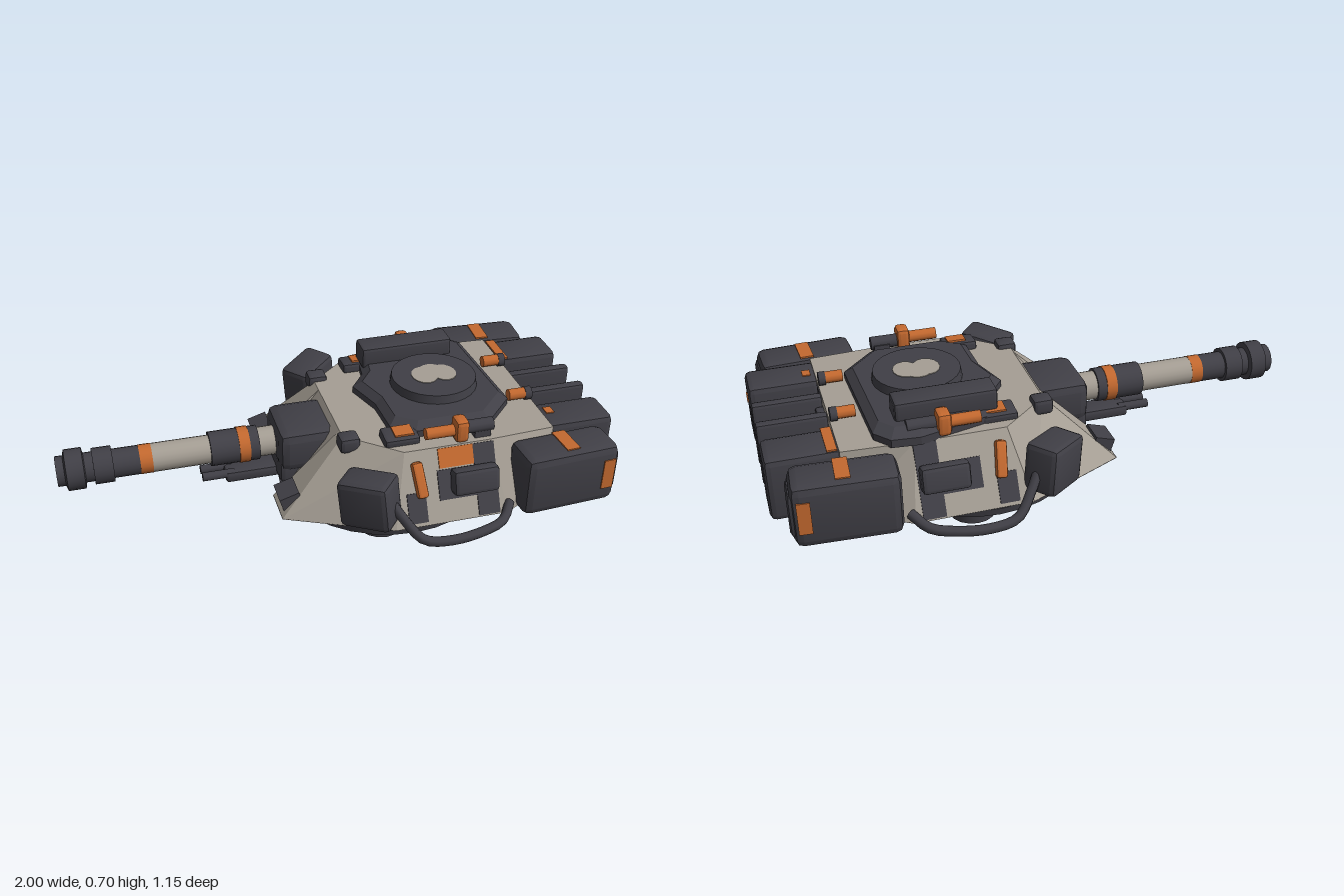
import * as THREE from 'three';
import { toCreasedNormals } from 'three/addons/utils/BufferGeometryUtils.js';
import { RoundedBoxGeometry } from 'three/addons/geometries/RoundedBoxGeometry.js';

const material = (name, color) => {
  const m = new THREE.MeshStandardMaterial({ color });
  m.name = name;
  return m;
};

// Faceted solid through closed rings of [x, y, z], counter-clockwise from above
function loft(rings) {
  const pos = [];
  const n = rings[0].length;
  const centre = (r) => [0.3, r[0][1], 0];
  for (let k = 0; k < rings.length - 1; k++) {
    for (let i = 0; i < n; i++) {
      const j = (i + 1) % n;
      const [a, b, c, d] = [rings[k][i], rings[k][j], rings[k + 1][j], rings[k + 1][i]];
      pos.push(...a, ...b, ...c, ...a, ...c, ...d);
    }
  }
  const low = rings[0], high = rings[rings.length - 1];
  for (let i = 0; i < n; i++) {
    const j = (i + 1) % n;
    pos.push(...centre(high), ...high[i], ...high[j], ...centre(low), ...low[j], ...low[i]);
  }
  const g = new THREE.BufferGeometry();
  g.setAttribute('position', new THREE.Float32BufferAttribute(pos, 3));
  g.computeVertexNormals();
  return g;
}

// Full ring at height y from a half outline of [x, z]
const ring = (half, y) => [
  ...half.map(([x, z]) => [x, y, z]),
  ...half.slice().reverse().map(([x, z]) => [x, y, -z]),
];

const box = (w, h, d) => new THREE.BoxGeometry(w, h, d);
const chamfered = (w, h, d, r) => toCreasedNormals(new RoundedBoxGeometry(w, h, d, 1, r), 0.4);
const rod = (length, r, sides = 16) =>
  new THREE.CylinderGeometry(r, r, length, sides).rotateZ(Math.PI / 2);

export function createModel() {
  const model = new THREE.Group();
  model.name = 'turret';
  const dark = material('charcoal', 0x403f46);
  const grey = material('warm grey', 0xa59e94);
  const orange = material('rust orange', 0xc4692f);

  const add = (name, geo, mat, p = [0, 0, 0], r = [0, 0, 0]) => {
    const mesh = new THREE.Mesh(geo, mat);
    mesh.name = name;
    mesh.position.set(...p);
    mesh.rotation.set(...r);
    model.add(mesh);
    return mesh;
  };
  // The same part on both flanks
  const pair = (name, geo, mat, [x, y, z], [rx, ry, rz] = [0, 0, 0]) => {
    add(name + 'Left', geo, mat, [x, y, z], [rx, ry, rz]);
    add(name + 'Right', geo, mat, [x, y, -z], [-rx, -ry, rz]);
  };

  // Pivot shaft and turning ring
  add('shaft', new THREE.CylinderGeometry(0.092, 0.092, 0.28, 16), dark, [0.22, 0.144, 0]);
  add('shaftEndPaint', new THREE.CircleGeometry(0.085, 16, 0, Math.PI), grey, [0.22, 0.001, 0], [Math.PI / 2, 0, Math.PI / 2]);
  add('ringPlate', new THREE.CylinderGeometry(0.41, 0.405, 0.028, 32), dark, [0.22, 0.28, 0]);
  add('ringCollar', new THREE.CylinderGeometry(0.4, 0.37, 0.055, 32), dark, [0.22, 0.32, 0]);

  // Armoured hull
  const base = [[-0.19, 0.13], [-0.25, 0.16], [-0.25, 0.31], [0.12, 0.48], [0.54, 0.48], [0.75, 0.36]];
  const roof = [[0, 0.13], [0, 0.16], [0, 0.2], [0.18, 0.355], [0.5, 0.355], [0.75, 0.34]];
  const belly = base.map(([x, z]) => [0.3 + (x - 0.3) * 0.94, z * 0.94]);
  add('hull', loft([ring(base, 0.35), ring(roof, 0.59)]), grey);
  add('hullBelly', loft([ring(belly, 0.33), ring(base, 0.351)]), dark);

  // Paint on the sloped flanks; v runs up the slope from 0 to 1
  const lean = -0.48;
  const flank = (name, mat, x0, x1, v0, v1, s) => {
    const v = (v0 + v1) / 2;
    add(name, box(x1 - x0, (v1 - v0) * 0.27, 0.008), mat,
      [(x0 + x1) / 2, 0.35 + 0.24 * v, s * (0.48 - 0.125 * v)], [lean * s, 0, 0]);
  };
  for (const s of [1, -1]) {
    flank('flankPaintRear', dark, 0.43, 0.51, 0.02, 0.98, s);
    flank('flankPaintMiddle', dark, 0.29, 0.43, 0.3, 0.7, s);
    flank('flankPaintFront', dark, 0.17, 0.24, 0.05, 0.45, s);
  }
  flank('flankPaintOrange', orange, 0.3, 0.43, 0.72, 0.98, 1);

  // Gun mantlet and coaxial gun
  add('mantlet', chamfered(0.25, 0.16, 0.25, 0.035), dark, [-0.085, 0.49, 0]);
  add('mantletFoot', chamfered(0.22, 0.1, 0.22, 0.02), dark, [-0.1, 0.405, 0]);
  add('coaxialHousing', chamfered(0.24, 0.045, 0.09, 0.012), dark, [-0.28, 0.372, 0]);
  pair('coaxialBarrel', rod(0.12, 0.017, 10), dark, [-0.425, 0.382, 0.025]);

  // Main barrel, from the mantlet to the muzzle
  const barrel = [
    ['barrelRoot', -0.28, -0.15, 0.055, grey], ['barrelSleeve', -0.45, -0.27, 0.064, dark],
    ['sleeveBand', -0.345, -0.305, 0.067, orange], ['barrelTube', -0.66, -0.44, 0.053, grey],
    ['barrelBand', -0.705, -0.66, 0.054, orange], ['barrelNeck', -0.81, -0.705, 0.053, dark],
    ['muzzleCollar', -0.87, -0.8, 0.066, dark], ['muzzleWaist', -0.91, -0.86, 0.054, dark],
  ];
  for (const [name, x0, x1, r, mat] of barrel) {
    add(name, rod(x1 - x0, r, 20), mat, [(x0 + x1) / 2, 0.485, 0]);
  }
  const muzzle = [[0, 0.05], [0.034, 0.05], [0.034, 0.1], [0.055, 0.1], [0.055, 0.072], [0.075, 0.066], [0.075, 0.004], [0.055, 0]];
  const muzzleGeo = new THREE.LatheGeometry(muzzle.map(([r, h]) => new THREE.Vector2(r, h)).reverse(), 20);
  const muzzleMat = dark;
  muzzleMat.side = THREE.DoubleSide;
  add('muzzle', toCreasedNormals(muzzleGeo, 0.6), muzzleMat, [-0.9, 0.485, 0], [0, 0, Math.PI / 2]);

  // Launcher boxes on the cheeks, nose blocks and lifting blocks
  pair('launcherBox', chamfered(0.19, 0.18, 0.13, 0.02), dark, [0.035, 0.465, 0.425], [0, -0.7, 0.12]);
  pair('noseBlock', box(0.075, 0.075, 0.1), dark, [-0.205, 0.385, 0.23], [0, 0, 0.3]);
  pair('liftingBlock', chamfered(0.075, 0.06, 0.07, 0.015), dark, [0.015, 0.58, 0.225]);

  // Flank locker, latch and bent hand rail
  pair('flankLocker', chamfered(0.17, 0.095, 0.06, 0.015), dark, [0.42, 0.487, 0.435], [-0.25, 0, 0]);
  pair('flankLatch', chamfered(0.04, 0.13, 0.035, 0.01), orange, [0.22, 0.505, 0.415], [lean, 0, 0.1]);
  for (const s of [1, -1]) {
    const path = [[0.1, 0.47, 0.46], [0.14, 0.41, 0.5], [0.2, 0.345, 0.545], [0.3, 0.332, 0.558],
      [0.42, 0.342, 0.55], [0.5, 0.355, 0.525], [0.55, 0.38, 0.46]];
    const curve = new THREE.CatmullRomCurve3(path.map(([x, y, z]) => new THREE.Vector3(x, y, z * s)));
    add(s > 0 ? 'handRailLeft' : 'handRailRight', new THREE.TubeGeometry(curve, 20, 0.018, 8), dark);
  }

  // Rear stowage with painted straps
  pair('sideStowage', chamfered(0.36, 0.235, 0.165, 0.03), dark, [0.755, 0.465, 0.433], [0, 0.06, 0]);
  pair('sideStowageEnd', chamfered(0.05, 0.17, 0.13, 0.02), dark, [0.92, 0.465, 0.425], [0, 0.06, 0]);
  pair('sideStrap', box(0.05, 0.006, 0.12), orange, [0.76, 0.584, 0.425], [0, 0.06, 0]);
  pair('sideMark', box(0.045, 0.12, 0.006), orange, [0.9, 0.47, 0.508], [0, 0.06, 0]);
  pair('rearStowage', chamfered(0.26, 0.24, 0.16, 0.022), dark, [0.868, 0.468, 0.248]);
  add('rearStrap', box(0.035, 0.006, 0.15), orange, [0.772, 0.589, -0.248]);
  add('rearMark', box(0.006, 0.03, 0.025), orange, [0.999, 0.515, 0.25]);
  add('rearStrapMark', box(0.03, 0.006, 0.04), orange, [0.78, 0.589, 0.23]);
  pair('rearRib', chamfered(0.25, 0.25, 0.04, 0.012), dark, [0.873, 0.46, 0.068]);
  add('rearPanel', chamfered(0.04, 0.18, 0.09, 0.01), dark, [0.76, 0.46, 0]);
  add('rearPaint', box(0.008, 0.23, 0.05), dark, [0.75, 0.47, 0.115]);

  // Roof platform and round hatch
  const deck = [[0.12, -0.08], [0.165, 0.06], [0.17, 0.22], [0.25, 0.275], [0.53, 0.275], [0.65, 0.15],
    [0.63, -0.3], [0.58, -0.36], [0.48, -0.37], [0.2, -0.3], [0.18, -0.16]];
  const deckRing = (y, k) => deck.map(([x, z]) => [0.4 + (x - 0.4) * k, y, z * k]);
  add('roofPlatform', loft([deckRing(0.585, 1), deckRing(0.615, 1), deckRing(0.638, 0.88)]), dark);
  add('hatch', new THREE.CylinderGeometry(0.158, 0.165, 0.045, 28), dark, [0.41, 0.648, 0]);
  // Worn paint on the hatch
  const wear = new THREE.CylinderGeometry(0.052, 0.052, 0.004, 14);
  for (const [x, z, sx, sz] of [[0.375, 0, 0.95, 1.15], [0.45, 0, 0.9, 1.1], [0.41, -0.04, 0.8, 0.6]]) {
    add('hatchWear', wear, grey, [x, 0.671, z]).scale.set(sx, 1, sz);
  }
  add('sightBox', chamfered(0.36, 0.085, 0.1, 0.012), dark, [0.37, 0.66, -0.237]);

  // Periscopes with coloured lids
  pair('periscope', chamfered(0.13, 0.04, 0.09, 0.012), dark, [0.19, 0.6, 0.27], [0.1, 0, 0]);
  pair('periscopeLid', box(0.07, 0.008, 0.055), orange, [0.2, 0.623, 0.27], [0.1, 0, 0]);

  // Roof lamps on short brackets
  pair('lampBody', rod(0.15, 0.022, 10), orange, [0.34, 0.632, 0.325]);
  pair('lampHead', chamfered(0.05, 0.085, 0.07, 0.015), orange, [0.395, 0.635, 0.325]);
  pair('lampTail', rod(0.1, 0.025, 10), dark, [0.47, 0.63, 0.315]);
  pair('lampFoot', box(0.06, 0.05, 0.05), dark, [0.48, 0.605, 0.31]);

  // Small rear roof fittings
  pair('roofFitting', rod(0.08, 0.022, 10), orange, [0.7, 0.615, 0.13]);
  pair('roofFittingCap', rod(0.025, 0.026, 10), dark, [0.735, 0.613, 0.13]);

  return model;
}
